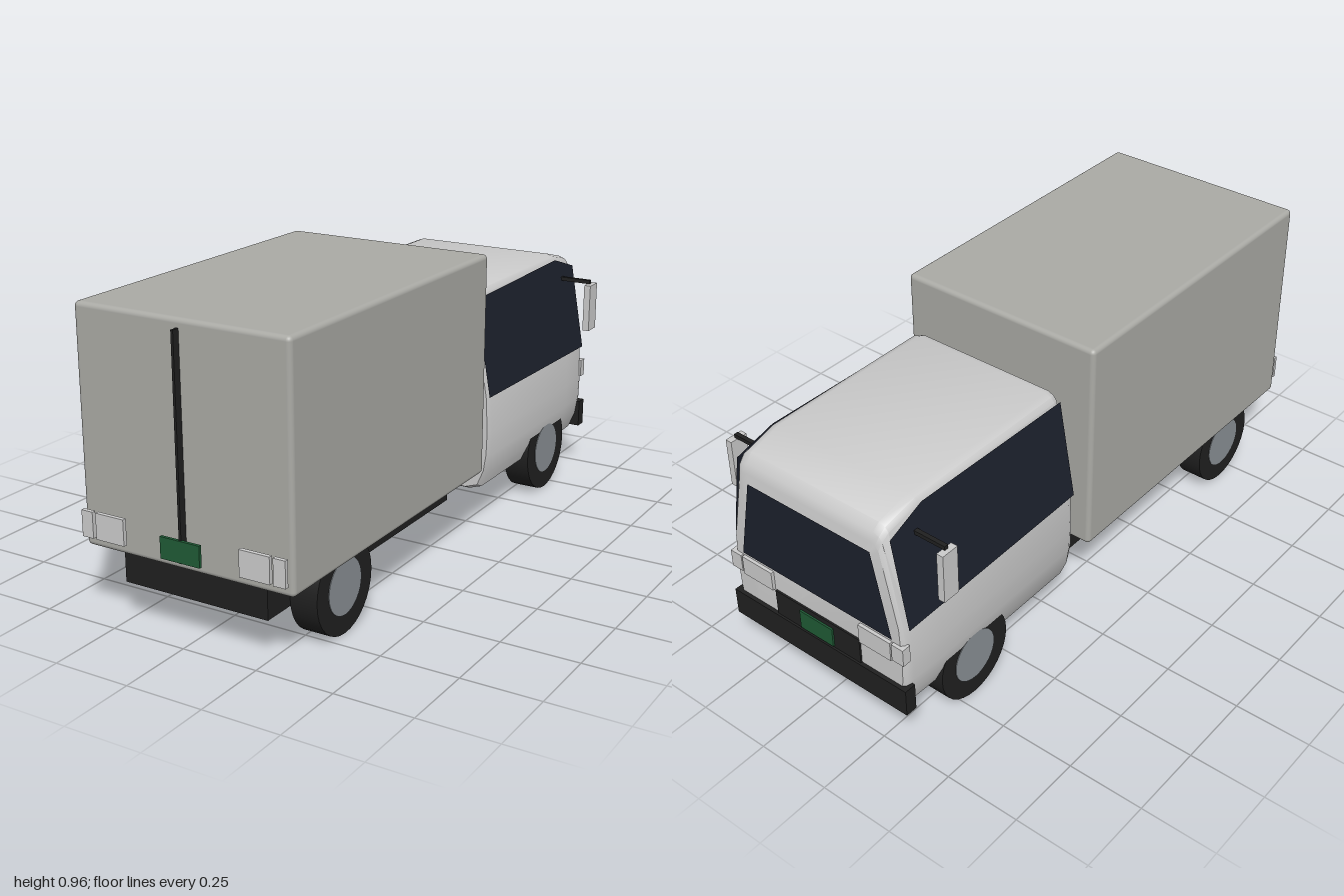
import * as THREE from 'three';
import { RoundedBoxGeometry } from 'three/addons/geometries/RoundedBoxGeometry.js';
import { toCreasedNormals } from 'three/addons/utils/BufferGeometryUtils.js';

const paint = (color) => new THREE.MeshStandardMaterial({ color });
const grey = paint(0xcccccc);
const cargoGrey = paint(0xaaaaa5);
const black = paint(0x202020);
const hubGrey = paint(0x8a9095);
const green = paint(0x1f5a35);
const glass = paint(0x1c202c);
glass.side = THREE.DoubleSide;

// Cab cross-section (right half, bottom to top)
const HALF = [[0.27, 0.13], [0.315, 0.145], [0.338, 0.2], [0.347, 0.26], [0.349, 0.34],
  [0.343, 0.462], [0.284, 0.795], [0.272, 0.81], [0.25, 0.818]];
// Stations along the cab: z, width scale, upper height scale, lower height scale
const STATIONS = [[-0.215, 0.975, 0.985, 0.97], [-0.235, 1, 1, 1], [-0.84, 1, 1, 1],
  [-0.955, 0.99, 0.915, 1], [-0.977, 0.975, 0.85, 0.99], [-0.987, 0.95, 0.765, 0.97]];
const WAIST = 0.465;

function cabGeometry() {
  const ring = [...HALF, ...HALF.map(([x, y]) => [-x, y]).reverse()];
  const n = ring.length;
  const pos = [];
  const idx = [];
  for (const [z, sx, up, low] of STATIONS) {
    for (const [x, y] of ring) pos.push(x * sx, WAIST + (y - WAIST) * (y > WAIST ? up : low), z);
  }
  const last = (STATIONS.length - 1) * n;
  for (let s = 0; s < last; s += n) {
    for (let i = 0; i < n; i++) {
      const a = s + i, b = s + (i + 1) % n;
      idx.push(a, a + n, b, b, a + n, b + n);
    }
  }
  // End caps
  for (let i = 1; i < n - 1; i++) idx.push(0, i, i + 1, last, last + i + 1, last + i);
  const g = new THREE.BufferGeometry();
  g.setAttribute('position', new THREE.Float32BufferAttribute(pos, 3));
  g.setIndex(idx);
  return toCreasedNormals(g, 0.6);
}

// Side window drawn in (z, y), then leaned onto the cab side
function sideWindowGeometry(side) {
  const pts = [[-0.214, 0.467], [-0.214, 0.79], [-0.83, 0.8], [-0.968, 0.755], [-0.968, 0.457]];
  const g = new THREE.ShapeGeometry(new THREE.Shape(pts.map(([z, y]) => new THREE.Vector2(z, y))));
  const p = g.attributes.position;
  for (let i = 0; i < p.count; i++) {
    const z = p.getX(i), y = p.getY(i);
    p.setXYZ(i, side * (0.348 - (y - 0.462) * 0.177), y, z);
  }
  g.computeVertexNormals();
  return g;
}

export function createModel() {
  const model = new THREE.Group();
  model.name = 'boxTruck';

  const add = (name, geometry, material) => {
    const m = new THREE.Mesh(geometry, material);
    m.name = name;
    model.add(m);
    return m;
  };
  // Box given by its min and max on each axis
  const block = (name, material, [x0, x1], [y0, y1], [z0, z1], radius = 0) => {
    const size = [x1 - x0, y1 - y0, z1 - z0];
    const g = radius ? new RoundedBoxGeometry(...size, 3, radius) : new THREE.BoxGeometry(...size);
    const m = add(name, g, material);
    m.position.set((x0 + x1) / 2, (y0 + y1) / 2, (z0 + z1) / 2);
    return m;
  };
  const span = (side, a, b) => (side > 0 ? [a, b] : [-b, -a]);

  // Cargo body and chassis
  block('cargoBox', cargoGrey, [-0.362, 0.362], [0.23, 0.962], [-0.15, 0.972], 0.015);
  block('chassis', black, [-0.25, 0.25], [0.124, 0.24], [-0.11, 0.937]);
  block('doorSeam', black, [-0.004, 0.004], [0.26, 0.935], [0.968, 0.996]);
  block('rearPlate', green, [-0.068, 0.068], [0.263, 0.33], [0.99, 1.0]);

  // Cab and its front
  add('cab', cabGeometry(), grey);
  const shield = new THREE.Shape([[-0.3, 0.412], [0.3, 0.412], [0.238, 0.7], [-0.238, 0.7]]
    .map(([x, y]) => new THREE.Vector2(x, y)));
  add('windshield', new THREE.ShapeGeometry(shield), glass).position.z = -0.99;
  block('bumper', black, [-0.35, 0.35], [0.152, 0.245], [-1.0, -0.96]);
  block('grille', black, [-0.17, 0.17], [0.245, 0.335], [-0.993, -0.975]);
  block('frontPlate', green, [-0.066, 0.066], [0.252, 0.318], [-0.999, -0.99]);

  // Mirrored parts
  for (const side of [1, -1]) {
    add('sideWindow', sideWindowGeometry(side), glass);
    block('mirrorArm', black, span(side, 0.29, 0.41), [0.721, 0.734], [-0.877, -0.863]);
    block('mirror', grey, span(side, 0.4, 0.423), [0.556, 0.72], [-0.9, -0.84]);
    block('headlight', grey, span(side, 0.175, 0.298), [0.335, 0.402], [-0.998, -0.975]);
    block('frontIndicator', grey, span(side, 0.303, 0.347), [0.342, 0.402], [-0.998, -0.968]);
    block('tailLight', grey, span(side, 0.2, 0.301), [0.268, 0.35], [0.985, 0.998]);
    block('rearIndicator', grey, span(side, 0.312, 0.352), [0.268, 0.35], [0.985, 0.998]);

    for (const z of [0.68, -0.688]) {
      const tyre = add('tyre', new THREE.CylinderGeometry(0.148, 0.148, 0.09, 32), black);
      const hub = add('hub', new THREE.CylinderGeometry(0.088, 0.088, 0.094, 32), hubGrey);
      for (const part of [tyre, hub]) {
        part.rotation.z = Math.PI / 2;
        part.position.set(side * 0.296, 0.148, z);
      }
    }
  }
  return model;
}
